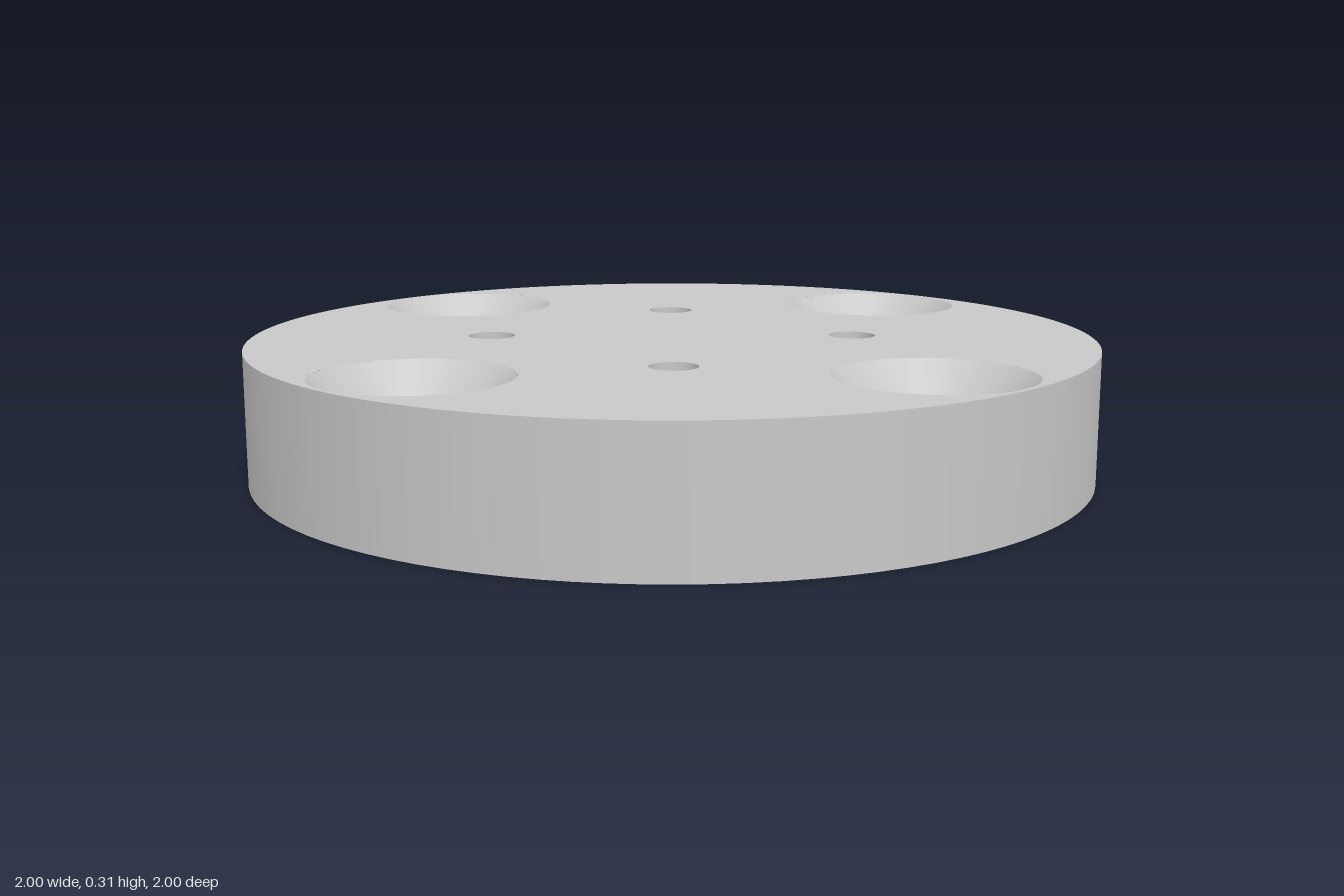
import * as THREE from 'three';

const SEG = 96;      // sides of every round
const H = 0.31;      // plate thickness
const SINK_R = 0.218, BORE_R = 0.097, PIN_R = 0.055;
const SINK_Y = H - 0.122; // bottom of the countersink
const STEP_Y = 0.18;      // top of the counterbore under the small holes

const BIG = [0, 1, 2, 3].map(i => [0.77 * Math.cos(i * Math.PI / 2), 0.77 * Math.sin(i * Math.PI / 2)]);
const SMALL = [[1, 1], [-1, 1], [-1, -1], [1, -1]].map(([x, z]) => [x * 0.305, z * 0.305]);

export function createModel() {
  const steel = new THREE.MeshStandardMaterial({ color: 0xc8c8c8 });
  steel.name = 'light grey metal';
  const model = new THREE.Group();
  model.name = 'roundMountingPlate';

  const add = (parent, name, geometry) => {
    const mesh = new THREE.Mesh(geometry, steel);
    mesh.name = name;
    parent.add(mesh);
    return mesh;
  };

  // Flat disc face pierced by the given hole radii
  const discFace = (bigR, smallR) => {
    const shape = new THREE.Shape().absarc(0, 0, 1, 0, Math.PI * 2);
    const pierce = (centres, r) => centres.forEach(([x, y]) =>
      shape.holes.push(new THREE.Path().absarc(x, y, r, 0, Math.PI * 2, true)));
    pierce(BIG, bigR);
    pierce(SMALL, smallR);
    return new THREE.ShapeGeometry(shape, SEG);
  };

  // Turned wall between two [radius, height] points, upward runs face outward
  const wall = (a, b) => new THREE.LatheGeometry(
    [new THREE.Vector2(...a), new THREE.Vector2(...b)], SEG);

  // Plate body
  add(model, 'topFace', discFace(SINK_R, PIN_R).rotateX(-Math.PI / 2).translate(0, H, 0));
  add(model, 'bottomFace', discFace(BORE_R, BORE_R).rotateX(Math.PI / 2));
  add(model, 'rim', wall([1, 0], [1, H]));

  // Hole linings, each profile runs from the top down
  const addHoles = (name, centres, profile, parts) => {
    const walls = parts.map((part, i) => [part, wall(profile[i], profile[i + 1])]);
    for (const [x, z] of centres) {
      const hole = new THREE.Group();
      hole.name = name;
      hole.position.set(x, 0, z);
      walls.forEach(([part, geometry]) => add(hole, part, geometry));
      model.add(hole);
    }
  };
  addHoles('countersunkHole', BIG,
    [[SINK_R, H], [BORE_R, SINK_Y], [BORE_R, 0]],
    ['countersink', 'bore']);
  addHoles('counterboredHole', SMALL,
    [[PIN_R, H], [PIN_R, STEP_Y], [BORE_R, STEP_Y], [BORE_R, 0]],
    ['pinBore', 'step', 'counterbore']);

  return model;
}
